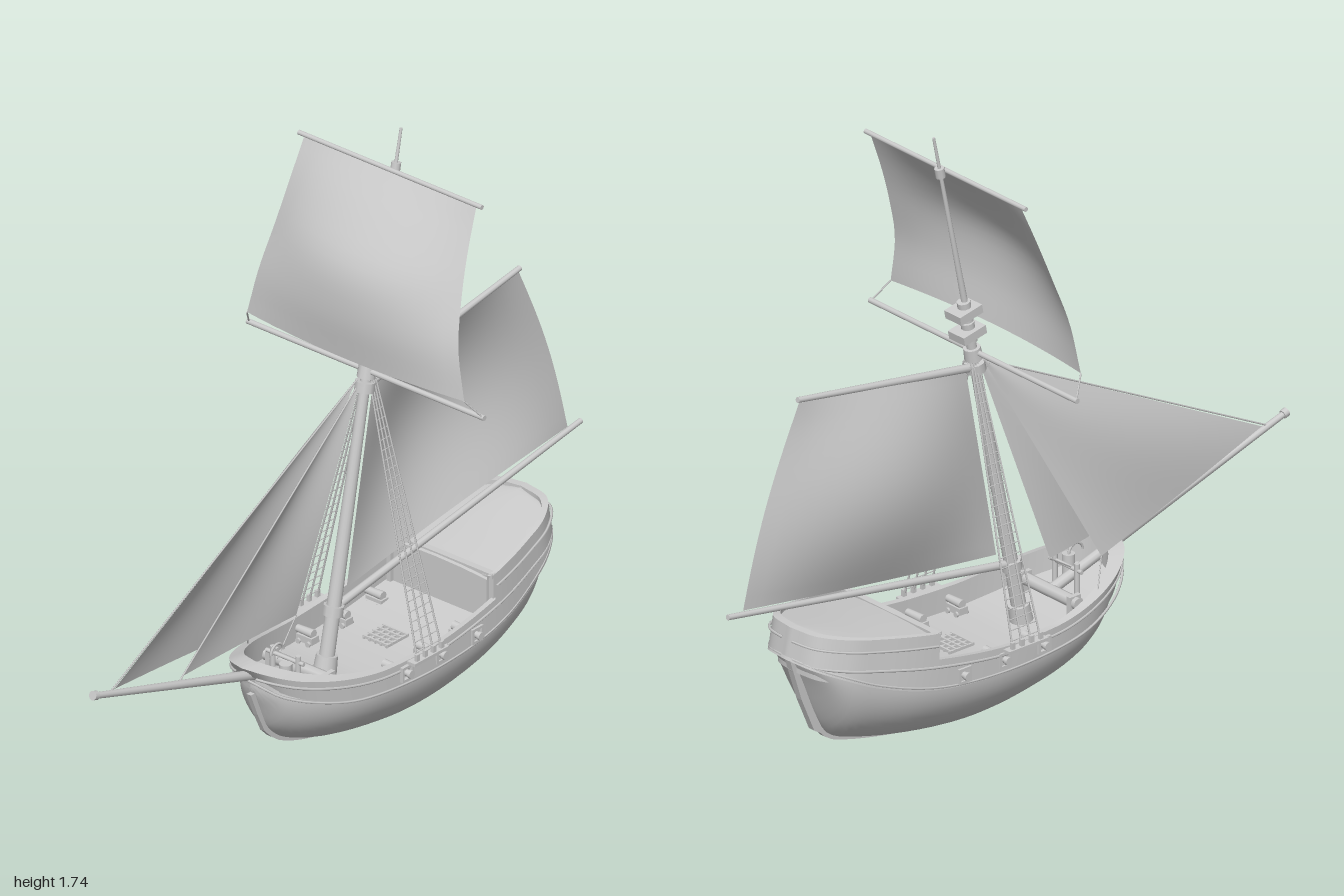
import * as THREE from 'three';
import { toCreasedNormals } from 'three/addons/utils/BufferGeometryUtils.js';

const V = (x, y, z) => new THREE.Vector3(x, y, z);
const solid = new THREE.MeshStandardMaterial({ color: 0xcccccc });
const shell = new THREE.MeshStandardMaterial({ color: 0xcccccc, side: THREE.DoubleSide });

// Smooth lookup in a table of [position, value], ascending
function lookup(table, p) {
  const n = table.length - 1;
  p = Math.min(Math.max(p, table[0][0]), table[n][0]);
  let i = 0;
  while (i < n - 1 && p > table[i + 1][0]) i++;
  const slope = (k) => {
    const a = table[Math.max(k - 1, 0)], b = table[Math.min(k + 1, n)];
    return (b[1] - a[1]) / (b[0] - a[0]);
  };
  const [x0, y0] = table[i], [x1, y1] = table[i + 1], h = x1 - x0, t = (p - x0) / h;
  const s = t * t * (3 - 2 * t);
  return y0 + (y1 - y0) * s + h * (t * (1 - t) ** 2 * slope(i) - t * t * (1 - t) * slope(i + 1));
}

// Side-on height lines of the hull, by z
const sheer = [[-0.8, 0.39], [-0.6, 0.35], [-0.42, 0.315], [-0.2, 0.283], [0, 0.278], [0.1, 0.287], [0.2, 0.305], [0.3, 0.33], [0.39, 0.365]];
const wale = [[-0.8, 0.37], [-0.7, 0.325], [-0.6, 0.28], [-0.45, 0.235], [-0.3, 0.212], [-0.1, 0.205], [0.1, 0.215], [0.2, 0.235], [0.33, 0.28], [0.39, 0.335]];
const keel = [[-0.775, 0.358], [-0.74, 0.28], [-0.7, 0.18], [-0.66, 0.11], [-0.6, 0.075], [-0.4, 0.03], [-0.2, 0.01], [0, 0.03], [0.2, 0.08], [0.29, 0.145], [0.33, 0.235], [0.35, 0.285]];
const poop = [[-0.8, 0.458], [-0.6, 0.42], [-0.42, 0.39]];

// Half outline of the hull seen from above, bow to stern
const outline = new THREE.CatmullRomCurve3([[0, 0.39], [0.06, 0.365], [0.11, 0.31], [0.155, 0.22], [0.185, 0.1], [0.2, -0.05],
  [0.205, -0.2], [0.197, -0.45], [0.172, -0.6], [0.145, -0.7], [0.09, -0.775], [0, -0.795]].map(([x, z]) => V(x, 0, z)));
function plan(t, width, bow, stern) {
  const p = outline.getPoint(t), f = (p.z + 0.795) / 1.185;
  return [p.x * width, stern + (bow - stern) * f];
}

function grid(nu, nv, fn) {
  const pos = [], index = [];
  for (let i = 0; i <= nu; i++) for (let j = 0; j <= nv; j++) pos.push(...fn(i / nu, j / nv, i, j));
  for (let i = 0; i < nu; i++) for (let j = 0; j < nv; j++) {
    const a = i * (nv + 1) + j, b = a + nv + 1;
    index.push(a, b, a + 1, b, b + 1, a + 1);
  }
  const g = new THREE.BufferGeometry();
  g.setAttribute('position', new THREE.Float32BufferAttribute(pos, 3));
  g.setIndex(index);
  g.computeVertexNormals();
  return g;
}

export function createModel() {
  const ship = new THREE.Group();
  function add(name, geometry, material = solid, x = 0, y = 0, z = 0) {
    const m = new THREE.Mesh(geometry, material);
    m.name = name;
    m.position.set(x, y, z);
    ship.add(m);
    return m;
  }
  const box = (name, w, h, d, x, y, z) => add(name, new THREE.BoxGeometry(w, h, d), solid, x, y, z);
  function rod(name, a, b, r0, r1 = r0, sides = 10) {
    const m = add(name, new THREE.CylinderGeometry(r1, r0, a.distanceTo(b), sides));
    m.position.copy(a).lerp(b, 0.5);
    m.quaternion.setFromUnitVectors(V(0, 1, 0), b.clone().sub(a).normalize());
    return m;
  }
  // Skin through half sections (centre line outward), mirrored across x
  function loft(name, n, section, crease = 0.6) {
    const rows = [];
    for (let i = 0; i <= n; i++) {
      const half = section(i / n);
      rows.push([...half.slice(1).reverse().map(([x, y, z]) => [-x, y, z]), ...half]);
    }
    const g = grid(n, rows[0].length - 1, (u, v, i, j) => rows[i][j]);
    add(name, toCreasedNormals(g, crease), shell);
  }

  // Rounded lower hull
  loft('lowerHull', 56, (t) => {
    const [x, z] = plan(t, 0.94, 0.35, -0.775);
    const top = lookup(wale, z) + 0.005, low = Math.min(lookup(keel, z), top);
    return Array.from({ length: 15 }, (_, k) => {
      const a = (k / 14) * Math.PI / 2;
      return [x * Math.sin(a) ** 1.25, top - (top - low) * Math.cos(a), z];
    });
  }, 1.0);

  // Bulwark band with rail and main deck
  loft('bulwarkAndDeck', 64, (t) => {
    const [x, z] = plan(t, 1, 0.39, -0.785), [xb, zb] = plan(t, 1.01, 0.365, -0.795);
    const [xi, zi] = plan(t, 0.92, 0.335, -0.765), [xh, zh] = plan(t, 0.92, 0.345, -0.77);
    const top = lookup(sheer, z), deck = top - 0.07;
    return [[0, deck, zi], [xi, deck, zi], [xi, top, zi], [x, top, z], [xb, lookup(wale, z), zb], [xh, lookup(wale, z), zh]];
  });

  // Raised stern deck with low rim
  let t0 = 0.5;
  while (plan(t0, 1, 0.39, -0.79)[1] > -0.42) t0 += 0.002;
  loft('sternCastle', 32, (u) => {
    const t = t0 + (1 - t0) * u;
    const [xb, zb] = plan(t, 1.01, 0.39, -0.792), [x, z] = plan(t, 0.99, 0.39, -0.778), [xi, zi] = plan(t, 0.94, 0.38, -0.755);
    const top = lookup(poop, z), deck = top - 0.012;
    return [[0, deck + 0.008, zi], [xi * 0.5, deck + 0.006, zi], [xi, deck, zi], [xi, top, zi], [x, top, z], [xb, lookup(sheer, zb) - 0.02, zb]];
  });
  box('cabinBulkhead', 0.385, 0.15, 0.01, 0, 0.31, -0.425);
  box('cabinBeam', 0.39, 0.014, 0.02, 0, 0.385, -0.42);
  for (const s of [-1, 1]) box('cabinPost', 0.014, 0.14, 0.02, s * 0.17, 0.315, -0.418);

  // Raised strips along the sides
  for (const s of [-1, 1]) for (const [from, to, table, drop] of [[0.02, 0.98, wale, -0.004], [0.05, 0.98, sheer, 0.022], [t0, 0.98, poop, 0.035]]) {
    const pts = Array.from({ length: 30 }, (_, i) => {
      const [x, z] = plan(from + (to - from) * i / 29, 1.008, 0.382, -0.79);
      return V(s * x, lookup(table, z) - drop, z);
    });
    add('sideStrip', new THREE.TubeGeometry(new THREE.CatmullRomCurve3(pts), 50, 0.004, 5));
  }

  // Keel and rudder, flat pieces cut in the z-y plane
  function plate(name, pts, thick) {
    const g = new THREE.ExtrudeGeometry(new THREE.Shape(pts.map(([z, y]) => new THREE.Vector2(z, y))), { depth: thick, bevelEnabled: false });
    add(name, g.translate(0, 0, -thick / 2).rotateY(-Math.PI / 2));
  }
  const keelLine = Array.from({ length: 41 }, (_, i) => -0.76 + 1.105 * i / 40).map((z) => [z, lookup(keel, z)]);
  const scaled = (f) => keelLine.map(([z, y]) => [-0.2 + (z + 0.2) * f, 0.25 + (y - 0.25) * f]);
  plate('keel', [...scaled(1.03), ...scaled(0.94).reverse()], 0.016);
  plate('rudder', [[-0.66, 0.1], [-0.7, 0.125], [-0.745, 0.23], [-0.79, 0.37], [-0.75, 0.37], [-0.72, 0.28], [-0.69, 0.16]], 0.022);

  // Mast leaning aft, with topmast and crosstrees
  const mast = (y, x = 0, dz = 0) => V(x, y, 0.045 - (y - 0.24) * 0.205 + dz);
  rod('mast', mast(0.2), mast(1.12), 0.022, 0.014, 16);
  rod('mastFoot', mast(0.2), mast(0.265), 0.034, 0.03, 16);
  rod('topmast', mast(1.04, 0, 0.005), mast(1.745), 0.011, 0.004, 12);
  rod('mastCollar', mast(1.045), mast(1.08), 0.026, 0.024, 12);
  for (const y of [1.13, 1.195]) {
    box('crosstree', 0.065, 0.025, 0.08, 0, y, mast(y).z - 0.005).rotation.x = -0.2;
    rod('mastCap', mast(y - 0.03), mast(y + 0.03), 0.019, 0.019, 12);
  }

  // Spars
  rod('bowsprit', V(0, 0.27, 0.16), V(0, 0.53, 1), 0.016, 0.009);
  rod('bowspritTip', V(0, 0.526, 0.985), V(0, 0.531, 1), 0.013);
  rod('boom', V(0, 0.39, 0.03), V(0, 0.553, -1), 0.012, 0.008);
  rod('gaff', V(0, 1.02, -0.13), V(0, 1.12, -0.75), 0.012, 0.008);
  rod('upperYard', V(-0.325, 1.635, -0.22), V(0.325, 1.635, -0.22), 0.007);
  rod('lowerYard', V(-0.42, 1.067, -0.12), V(0.42, 1.067, -0.12), 0.008);
  for (const y of [0.39, 1.02, 1.635]) rod('sparCollar', mast(y - 0.014), mast(y + 0.014), y > 1.5 ? 0.014 : 0.029);

  // Square topsail, deepest along its middle
  const midZ = [[0, -0.215], [0.23, -0.12], [0.46, -0.05], [0.72, -0.035], [1, -0.05]];
  const edgeZ = [[0, -0.22], [0.23, -0.172], [0.46, -0.13], [0.72, -0.09], [1, -0.077]];
  add('topsail', grid(16, 16, (u, v) => {
    const s = u * 2 - 1, e = lookup(edgeZ, v);
    return [s * (0.305 + 0.08 * v - 0.012 * Math.sin(Math.PI * v)), 1.632 - 0.508 * v, e + (lookup(midZ, v) - e) * (1 - s * s)];
  }), shell);
  for (const s of [-1, 1]) rod('topsailSheet', V(s * 0.385, 1.124, -0.077), V(s * 0.415, 1.067, -0.12), 0.0025, 0.0025, 5);

  // Fore-and-aft sails: four corners, bellied towards -x
  function sail(name, topFore, topAft, lowFore, lowAft, belly, roach = 0) {
    add(name, grid(16, 16, (u, v) => {
      const p = topFore.clone().lerp(topAft, u).lerp(lowFore.clone().lerp(lowAft, u), v);
      p.x -= belly * Math.sin(Math.PI * u) * Math.sin(Math.PI * Math.min(1, v * 0.95 + 0.02));
      p.z -= roach * u * Math.sin(Math.PI * v);
      return p.toArray();
    }), shell);
  }
  sail('mainsail', V(0, 1.025, -0.15), V(0, 1.11, -0.745), V(0, 0.435, -0.04), V(0, 0.556, -0.945), 0.085, 0.02);
  const outerHead = V(-0.015, 1.04, -0.1), innerHead = V(-0.01, 1.035, -0.11);
  sail('outerJib', outerHead, outerHead, V(0, 0.515, 0.91), V(-0.115, 0.385, 0.235), 0.04);
  sail('innerJib', innerHead, innerHead, V(0, 0.44, 0.635), V(-0.05, 0.395, 0.108), 0.03);
  rod('outerStay', V(0, 0.512, 0.93), outerHead, 0.0025, 0.0025, 5);
  rod('innerStay', V(0, 0.425, 0.65), innerHead, 0.0025, 0.0025, 5);
  rod('innerSheet', V(-0.05, 0.395, 0.108), V(-0.02, 0.32, 0.22), 0.002, 0.002, 5);
  rod('outerSheet', V(-0.115, 0.385, 0.235), V(-0.15, 0.3, 0.19), 0.002, 0.002, 5);

  for (const s of [-1, 1]) {
    // Shrouds with ratlines, fixed to a ledge outside the rail
    const shroud = (k, f) => V(s * 0.222, 0.27, -0.075 - 0.1 * k).lerp(V(s * 0.015, 1.04, -0.118 - 0.024 * k), f);
    for (let k = 0; k < 4; k++) {
      rod('shroud', shroud(k / 3, 0), shroud(k / 3, 1), 0.003, 0.0025, 5);
      box('deadeye', 0.01, 0.022, 0.012, s * 0.22, 0.285, -0.075 - 0.1 * k / 3);
    }
    for (let i = 1; i < 27; i++) rod('ratline', shroud(0, i / 28), shroud(1, i / 28), 0.0018, 0.0018, 4);
    box('shroudLedge', 0.03, 0.009, 0.14, s * 0.215, 0.272, -0.125);

    // Gun ports with cannons
    for (const z of [-0.05, -0.19, -0.335]) {
      const y = 0.245;
      for (const d of [-1, 1]) {
        box('portFrame', 0.01, 0.044, 0.007, s * 0.206, y, z + d * 0.019);
        box('portFrame', 0.01, 0.007, 0.044, s * 0.206, y + d * 0.019, z);
      }
      rod('cannon', V(s * 0.125, y, z), V(s * 0.222, y, z), 0.013, 0.009, 12);
      rod('muzzle', V(s * 0.215, y, z), V(s * 0.224, y, z), 0.012, 0.012, 12);
      box('carriage', 0.055, 0.02, 0.03, s * 0.147, y - 0.018, z);
      for (const d of [-1, 1]) for (const x of [0.13, 0.165]) rod('carriageWheel', V(s * x, y - 0.026, z + d * 0.015), V(s * x, y - 0.026, z + d * 0.021), 0.008);
    }
    // Windlass cheeks and bow bitts
    box('windlassCheek', 0.014, 0.07, 0.04, s * 0.1, 0.255, 0.15);
    rod('bitt', V(s * 0.045, 0.24, 0.21), V(s * 0.045, 0.345, 0.21), 0.008);
  }

  // Fore deck fittings
  rod('windlass', V(-0.12, 0.27, 0.15), V(0.12, 0.27, 0.15), 0.018, 0.018, 8);
  rod('bittCrossbar', V(-0.065, 0.325, 0.21), V(0.065, 0.325, 0.21), 0.006);
  rod('bowBarrel', V(0.035, 0.25, 0.25), V(0.035, 0.335, 0.25), 0.018, 0.018, 14);
  add('bowHook', new THREE.TorusGeometry(0.025, 0.004, 6, 14, Math.PI).rotateY(Math.PI / 2), solid, 0, 0.355, 0.245);
  for (let i = -2; i <= 2; i++) {
    box('hatchBar', 0.006, 0.008, 0.09, i * 0.02, 0.222, -0.2);
    box('hatchBar', 0.09, 0.008, 0.006, 0, 0.224, -0.2 + i * 0.02);
  }
  return ship;
}
